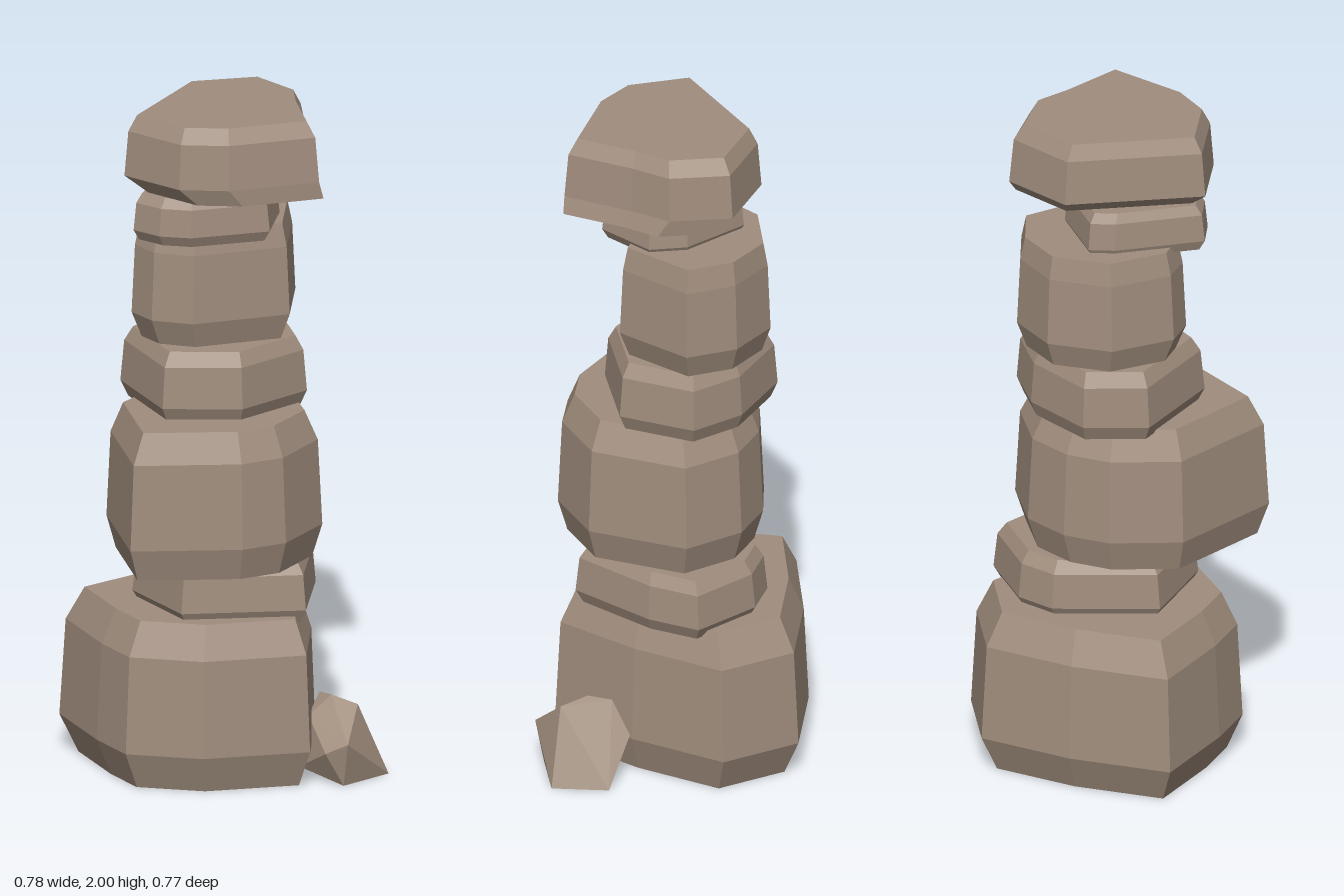
import * as THREE from 'three';
import { ConvexGeometry } from 'three/addons/geometries/ConvexGeometry.js';

// Faceted boulder: an [x, z] outline (counterclockwise from above) swept from
// y0 to y1, bevelled at both ends by scaling the outline towards its middle.
// bottomShift slides the lowest ring towards the front left.
function boulderGeometry(y0, y1, outline, bottomScale, topScale, bottomShift) {
  const n = outline.length;
  const box = new THREE.Box2().setFromPoints(outline.map(([x, z]) => new THREE.Vector2(x, z)));
  const mid = box.getCenter(new THREE.Vector2());
  const pos = [], index = [];
  const addRing = (t, scale, shift) => {
    for (const [x, z] of outline) {
      pos.push(mid.x + (x - mid.x) * scale + shift, y0 + (y1 - y0) * t, mid.y + (z - mid.y) * scale + shift);
    }
  };
  addRing(0, bottomScale, bottomShift);
  addRing(0.22, 1, 0);
  addRing(0.8, 0.96, 0);
  addRing(1, topScale, 0);

  // Side faces between rings
  for (let r = 0; r < 3; r++) {
    for (let j = 0; j < n; j++) {
      const a = r * n + j, b = r * n + (j + 1) % n;
      index.push(a, b, b + n, a, b + n, a + n);
    }
  }
  // Flat caps fan out from the middle; a stone on the ground stays open below
  const bottom = 4 * n, top = bottom + 1;
  pos.push(mid.x, y0, mid.y, mid.x, y1, mid.y);
  for (let j = 0; j < n; j++) {
    const k = (j + 1) % n;
    index.push(top, 3 * n + j, 3 * n + k);
    if (y0 > 0) index.push(bottom, k, j);
  }
  const indexed = new THREE.BufferGeometry();
  indexed.setAttribute('position', new THREE.Float32BufferAttribute(pos, 3));
  indexed.setIndex(index);
  const geometry = indexed.toNonIndexed();
  geometry.computeVertexNormals();
  return geometry;
}

export function createModel() {
  const model = new THREE.Group();
  model.name = 'stoneStack';
  const stone = new THREE.MeshStandardMaterial({ color: 0xa08d7d, flatShading: true, side: THREE.DoubleSide });
  stone.name = 'brown stone';

  const add = (name, geometry) => {
    const mesh = new THREE.Mesh(geometry, stone);
    mesh.name = name;
    model.add(mesh);
  };
  const addBoulder = (name, y0, y1, outline, bottomScale = 0.92, topScale = 0.87, bottomShift = 0) =>
    add(name, boulderGeometry(y0, y1, outline, bottomScale, topScale, bottomShift));

  // Stones from the ground up
  addBoulder('baseBoulder', 0, 0.5, [[0.27, 0.1], [0.39, -0.175], [0.255, -0.38], [-0.03, -0.385],
    [-0.33, -0.337], [-0.357, -0.07], [-0.352, 0.09], [-0.18, 0.24], [0.12, 0.335]], 0.88, 0.84);

  addBoulder('lowerSlab', 0.48, 0.66, [[0.3, 0.05], [0.355, -0.1], [0.2, -0.25], [0.08, -0.275],
    [-0.2, -0.14], [-0.19, 0.13], [0.14, 0.275]]);

  addBoulder('middleBoulder', 0.66, 1.1, [[0.305, -0.06], [0.19, -0.21], [0.05, -0.26], [-0.09, -0.25],
    [-0.28, -0.15], [-0.39, 0.185], [-0.1, 0.33], [0.04, 0.335], [0.22, 0.23]], 0.91, 0.84);

  addBoulder('middleSlab', 1.09, 1.3, [[0.29, -0.08], [0.18, -0.21], [-0.03, -0.295], [-0.2, -0.21],
    [-0.23, 0.09], [-0.03, 0.205], [0.22, 0.14]]);

  addBoulder('upperBoulder', 1.3, 1.65, [[0.295, -0.06], [0.23, -0.2], [0.09, -0.285], [-0.1, -0.25],
    [-0.225, -0.1], [-0.215, 0], [-0.13, 0.09], [0.16, 0.145]], 0.88, 0.9);

  addBoulder('upperSlab', 1.63, 1.77, [[0.175, 0.06], [0.15, -0.05], [0, -0.2], [-0.07, -0.17],
    [-0.275, 0], [-0.24, 0.09], [-0.17, 0.15], [0.06, 0.205]]);

  addBoulder('capStone', 1.77, 2, [[0.295, -0.01], [0.26, -0.19], [0.048, -0.255], [-0.29, -0.027],
    [-0.22, 0.17], [-0.1, 0.25], [0.167, 0.305], [0.24, 0.105]], 0.9, 0.87, 0.03);

  // Small wedge of rock leaning against the base
  const corners = [
    [0.385, 0, 0.157], [0.387, 0, 0.323], [0.217, 0, 0.36], [0.15, 0.03, 0.22], [0.165, 0.1, 0.345],
    [0.217, 0.13, 0.385], [0.285, 0.13, 0.105], [0.25, 0.235, 0.23], [0.295, 0.22, 0.305],
    [0.25, 0.225, 0.16], [0.18, 0.18, 0.22],
  ];
  add('looseRock', new ConvexGeometry(corners.map((p) => new THREE.Vector3(...p))));

  return model;
}
